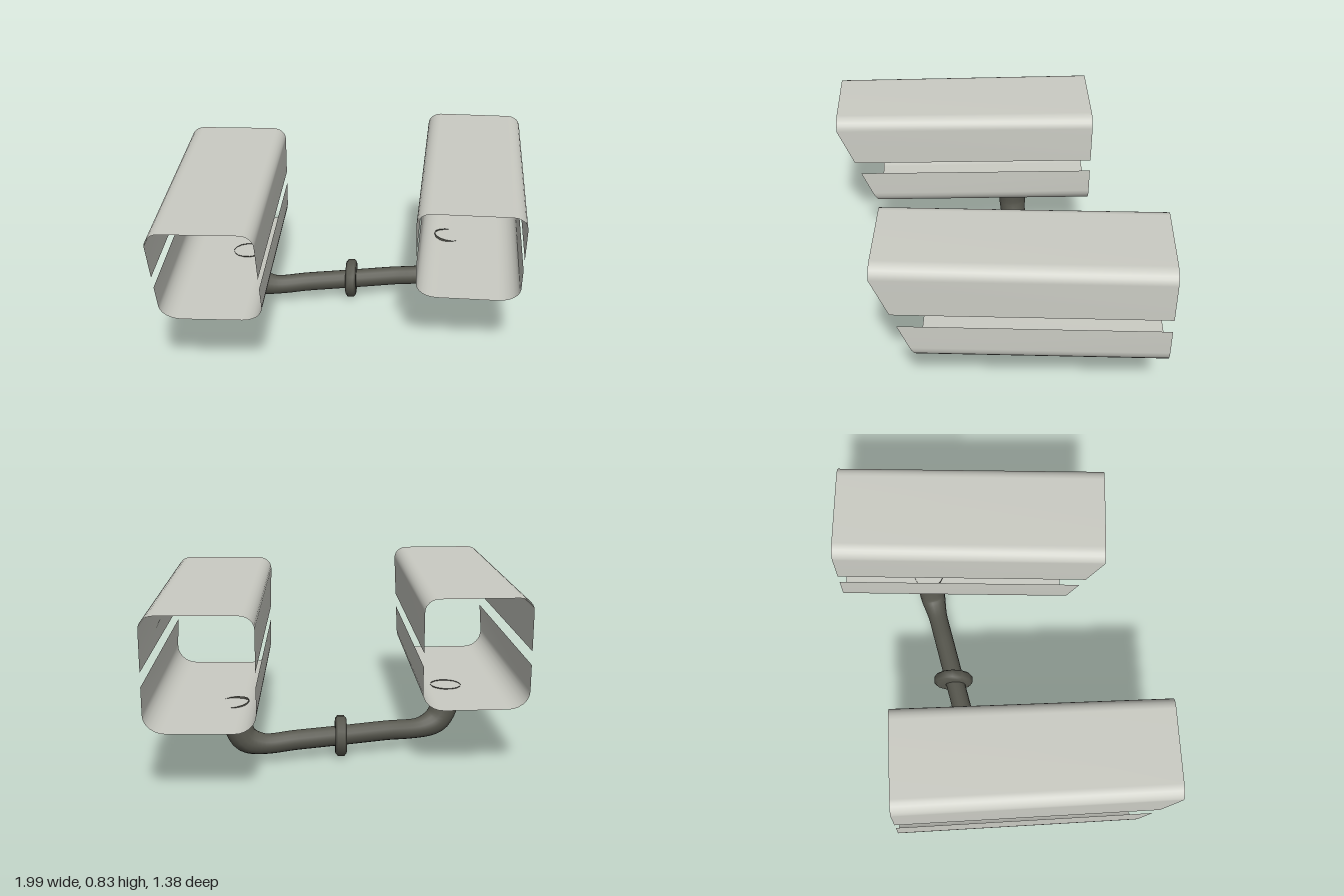
import * as THREE from 'three';

const shellGrey = new THREE.MeshStandardMaterial({ color: 0xcbccc4, side: THREE.DoubleSide });
shellGrey.name = 'shellGrey';
const pipeGrey = new THREE.MeshStandardMaterial({ color: 0x57574e, side: THREE.DoubleSide });
pipeGrey.name = 'pipeGrey';

const TOP = 0.828, BOTTOM = 0.308;

// Cross-section of half a housing, from the +x wall round to the -x wall
function shellSection(edgeY, flatY, halfWidth, rx, ry) {
  const s = Math.sign(flatY - edgeY), pts = [[halfWidth, edgeY]];
  for (let side = 1; side >= -1; side -= 2) {
    for (let i = 0; i <= 6; i++) {
      const a = (side > 0 ? i : 6 - i) * Math.PI / 12;
      pts.push([side * (halfWidth - rx + rx * Math.cos(a)), flatY - s * ry * (1 - Math.sin(a))]);
    }
  }
  pts.push([-halfWidth, edgeY]);
  return pts;
}

// Sweep a section from the square back end to the raked front end
function shell(name, section, halfLength, frontScale, upward) {
  const pos = [], index = [];
  section.forEach(([x, y], i) => {
    const front = halfLength - 0.42 * Math.max(0, 0.77 - y);
    pos.push(x, y, -halfLength, x * frontScale, y, front);
    if (i === 0) return;
    const a = 2 * i - 2, b = a + 1, c = a + 2, d = a + 3;
    if (upward) index.push(a, b, d, a, d, c);
    else index.push(a, d, b, a, c, d);
  });
  const geo = new THREE.BufferGeometry();
  geo.setAttribute('position', new THREE.Float32BufferAttribute(pos, 3));
  geo.setIndex(index);
  geo.computeVertexNormals();
  const mesh = new THREE.Mesh(geo, shellGrey);
  mesh.name = name;
  return mesh;
}

function housing(name, x, z, yaw, halfWidth, halfLength, frontScale) {
  const group = new THREE.Group();
  group.name = name;
  group.add(
    shell('upperShell', shellSection(0.582, TOP, halfWidth, 0.065, 0.058), halfLength, frontScale, true),
    shell('lowerShell', shellSection(0.518, BOTTOM, halfWidth, 0.1, 0.085), halfLength, frontScale, false),
  );
  group.position.set(x, 0, z);
  group.rotation.y = yaw;
  return group;
}

// U-shaped pipe that thickens towards its two upright ends
function pipe() {
  const path = new THREE.CatmullRomCurve3([
    [-0.508, 0.312], [-0.507, 0.22], [-0.468, 0.137], [-0.39, 0.102], [-0.2, 0.101], [0.02, 0.098],
    [0.24, 0.096], [0.41, 0.094], [0.49, 0.13], [0.526, 0.21], [0.541, 0.312],
  ].map(([x, y]) => new THREE.Vector3(x, y, -0.24)));
  const steps = 60, sides = 14;
  const geo = new THREE.TubeGeometry(path, steps, 1, sides, false);
  const p = geo.attributes.position, v = new THREE.Vector3();
  for (let i = 0; i <= steps; i++) {
    const c = path.getPointAt(i / steps);
    const bend = THREE.MathUtils.smoothstep(Math.abs(c.x - 0.015), 0.36, 0.5);
    const r = 0.048 + 0.017 * bend + 0.009 * THREE.MathUtils.smoothstep(c.y, 0.12, 0.31);
    for (let j = 0; j <= sides; j++) {
      const k = i * (sides + 1) + j;
      v.fromBufferAttribute(p, k).sub(c).multiplyScalar(r).add(c);
      p.setXYZ(k, v.x, v.y, v.z);
    }
  }
  geo.computeBoundingSphere();
  const mesh = new THREE.Mesh(geo, pipeGrey);
  mesh.name = 'supportPipe';
  return mesh;
}

// Chamfered ring around the middle of the pipe
function collar() {
  const profile = [[0.04, -0.027], [0.085, -0.027], [0.099, -0.016], [0.099, 0.016], [0.085, 0.027], [0.04, 0.027]];
  const geo = new THREE.LatheGeometry(profile.map(([r, y]) => new THREE.Vector2(r, y)), 12);
  geo.rotateZ(Math.PI / 2).rotateY(-0.24);
  const mesh = new THREE.Mesh(geo, pipeGrey);
  mesh.name = 'pipeCollar';
  mesh.position.set(0.024, 0.099, -0.246);
  return mesh;
}

export function createModel() {
  const model = new THREE.Group();
  model.name = 'twinHousings';
  model.add(
    housing('rightHousing', -0.638, -0.01, -0.208, 0.245, 0.643, 0.95),
    housing('leftHousing', 0.585, 0.002, -0.27, 0.243, 0.648, 1),
    pipe(),
    collar(),
  );
  return model;
}
